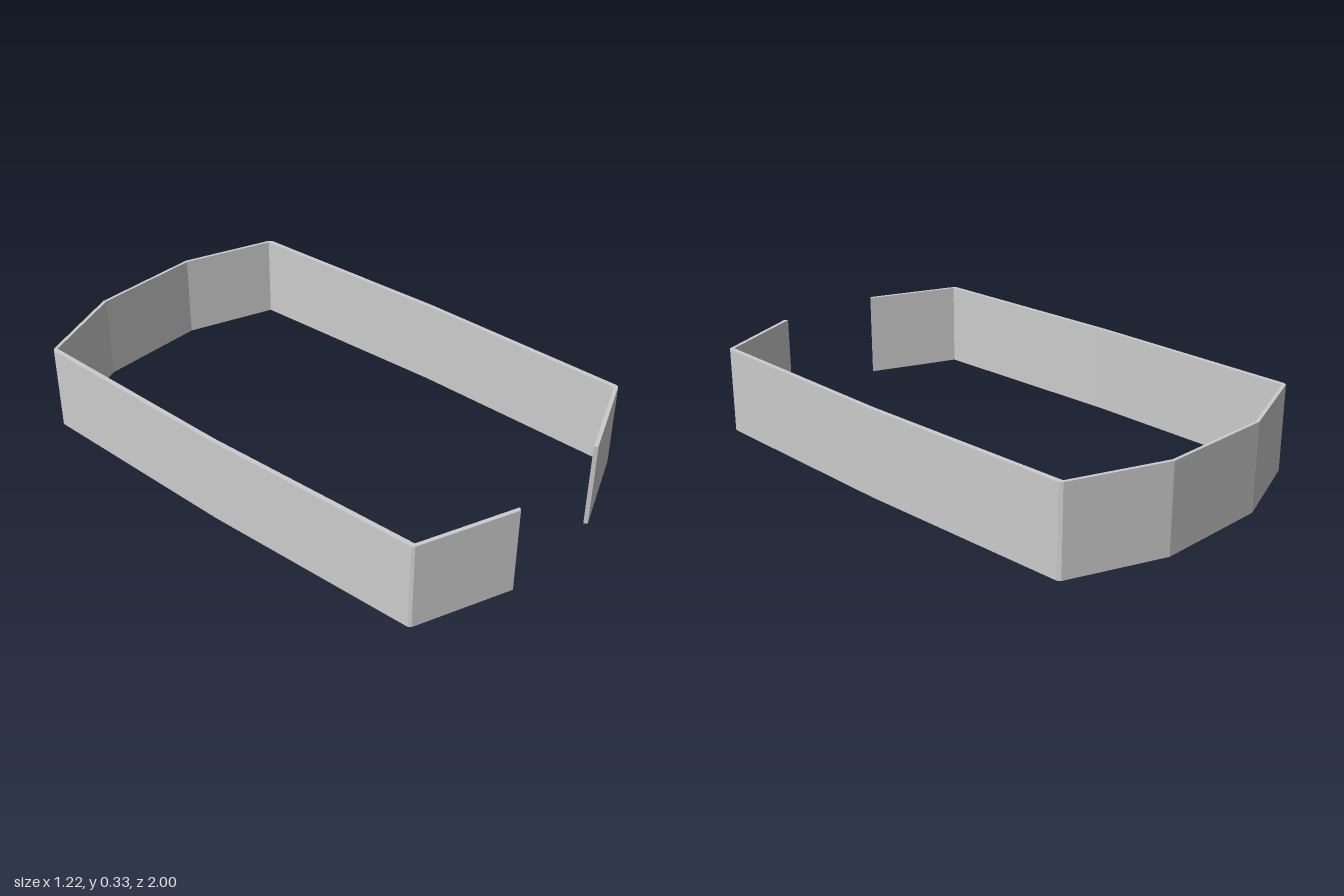
import * as THREE from 'three';

const HEIGHT = 0.333;

// Half outlines on the +x side as [x, z], running from back to front
const outer = [[0.225, -1], [0.584, -0.864], [0.593, -0.852], [0.61, 0], [0.593, 0.849], [0.586, 0.859], [0.228, 1]];
const inner = [[0.22, -0.988], [0.574, -0.854], [0.592, 0], [0.574, 0.848], [0.217, 0.988]];

const mirror = (points) => points.map(([x, z]) => [-x, z]);

export function createModel() {
  const group = new THREE.Group();
  group.name = 'openBand';

  // One closed loop: out along the outer face, back along the inner face, open at the front
  const loop = [
    ...mirror(outer).reverse(),
    ...outer,
    ...[...inner].reverse(),
    ...mirror(inner),
  ];
  const shape = new THREE.Shape(loop.map(([x, z]) => new THREE.Vector2(x, -z)));

  // Thin upright wall
  const geometry = new THREE.ExtrudeGeometry(shape, { depth: HEIGHT, bevelEnabled: false });
  geometry.rotateX(-Math.PI / 2);
  const wall = new THREE.Mesh(
    geometry,
    new THREE.MeshStandardMaterial({ color: 0xcccccc, flatShading: true }),
  );
  wall.name = 'bandWall';
  group.add(wall);

  return group;
}
